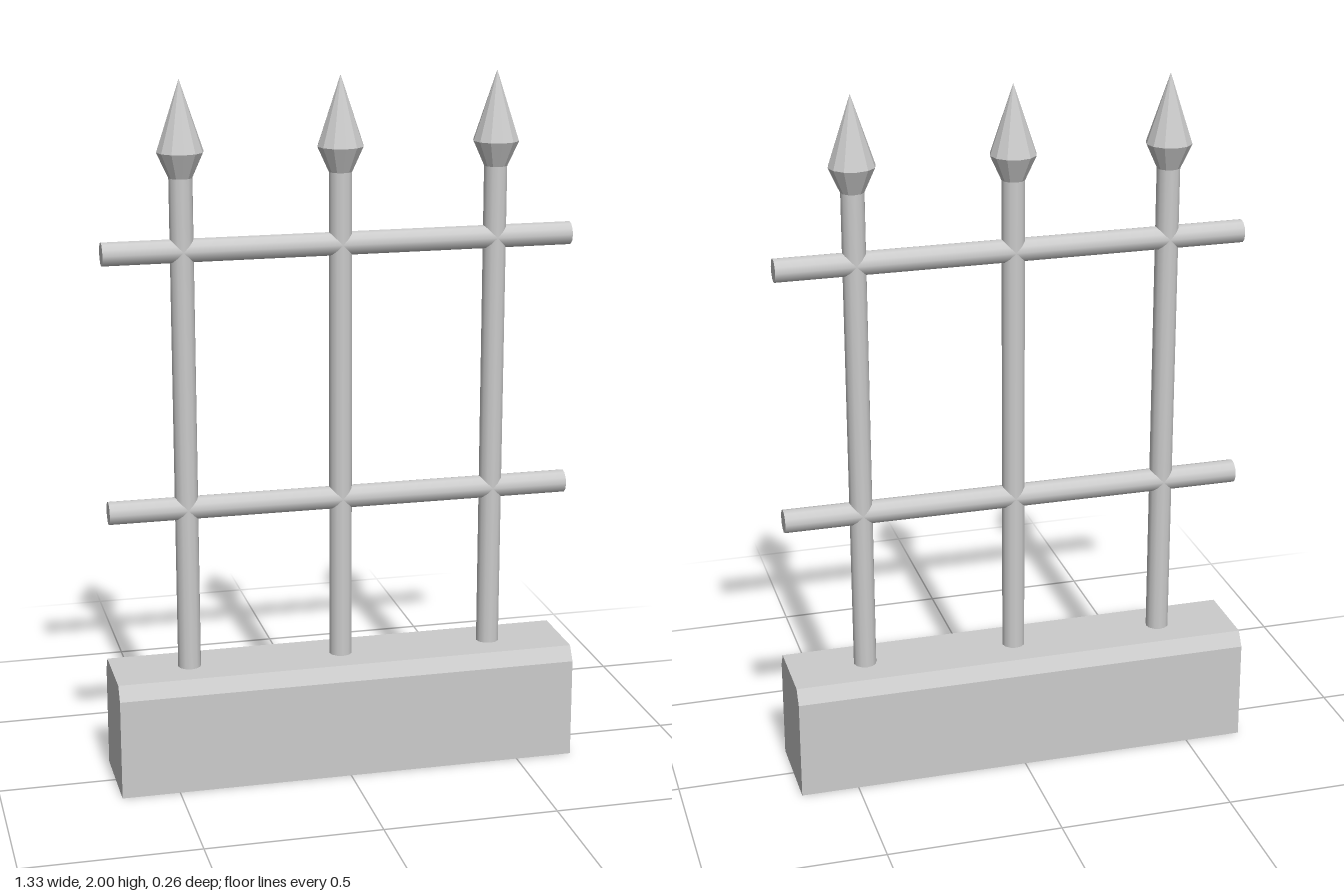
import * as THREE from 'three';

const LENGTH = 1.33;
const SIDES = 12;
const BAR_RADIUS = 0.033;

export function createModel() {
  const group = new THREE.Group();
  const smooth = new THREE.MeshStandardMaterial({ color: 0xcccccc });
  const faceted = new THREE.MeshStandardMaterial({ color: 0xcccccc, flatShading: true });

  function add(parent, name, geometry, material, x = 0, y = 0, z = 0) {
    const mesh = new THREE.Mesh(geometry, material);
    mesh.name = name;
    mesh.position.set(x, y, z);
    parent.add(mesh);
    return mesh;
  }

  // Stone plinth: chamfered cross-section swept along x
  const section = new THREE.Shape([
    [-0.132, 0], [0.132, 0], [0.132, 0.29], [0.107, 0.331], [-0.107, 0.331], [-0.132, 0.29],
  ].map(([x, y]) => new THREE.Vector2(x, y)));
  const plinth = new THREE.ExtrudeGeometry(section, { depth: LENGTH, bevelEnabled: false });
  plinth.translate(0, 0, -LENGTH / 2).rotateY(Math.PI / 2);
  add(group, 'plinth', plinth, faceted);

  // Horizontal rails
  const rail = new THREE.CylinderGeometry(BAR_RADIUS, BAR_RADIUS, LENGTH, SIDES).rotateZ(Math.PI / 2);
  add(group, 'lowerRail', rail, smooth, 0, 0.803);
  add(group, 'upperRail', rail, smooth, 0, 1.535);

  // Upright posts with spear heads
  const postBottom = 0.32, postTop = 1.74;
  const post = new THREE.CylinderGeometry(BAR_RADIUS, BAR_RADIUS, postTop - postBottom, SIDES);
  const head = new THREE.LatheGeometry([
    new THREE.Vector2(0, 1.735),
    new THREE.Vector2(BAR_RADIUS, 1.735),
    new THREE.Vector2(0.065, 1.805),
    new THREE.Vector2(0, 2),
  ], SIDES);
  for (const x of [-0.444, 0, 0.444]) {
    const picket = new THREE.Group();
    picket.name = 'picket';
    picket.position.x = x;
    add(picket, 'post', post, smooth, 0, (postBottom + postTop) / 2);
    add(picket, 'spearHead', head, faceted);
    group.add(picket);
  }

  return group;
}
